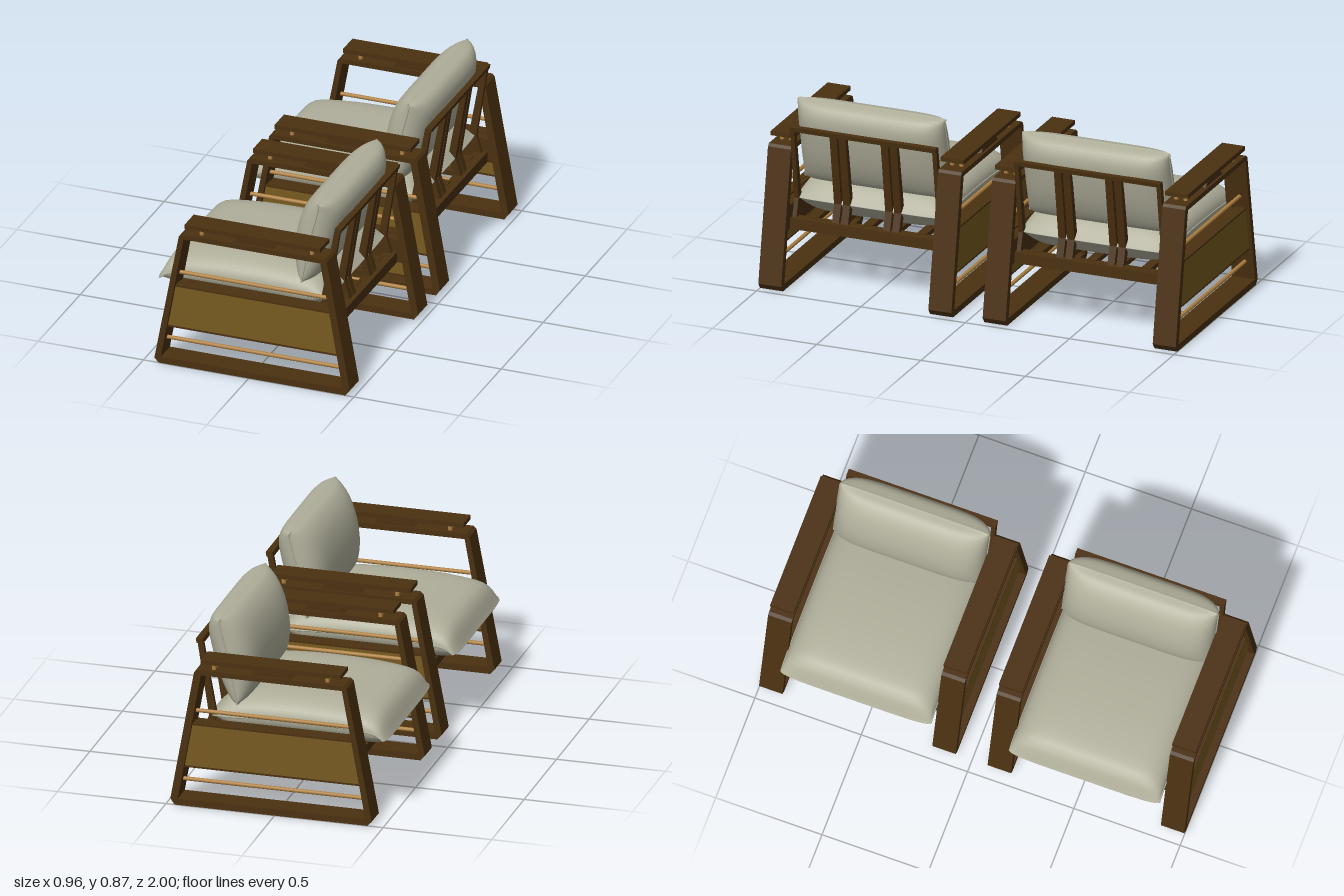
import * as THREE from 'three';

const mat = (name, color, side = THREE.FrontSide) => {
  const m = new THREE.MeshStandardMaterial({ color, side });
  m.name = name;
  return m;
};

export function createModel() {
  const darkWood = mat('dark wood', 0x4a3010);
  const panelWood = mat('panel wood', 0x765a20);
  const lightWood = mat('light wood', 0xae8040);
  const fabric = mat('cushion fabric', 0xb0af9b);

  const add = (parent, name, geo, material, x = 0, y = 0, z = 0) => {
    const mesh = new THREE.Mesh(geo, material);
    mesh.name = name;
    mesh.position.set(x, y, z);
    parent.add(mesh);
    return mesh;
  };
  const box = (parent, name, m, [x0, x1], [y0, y1], [z0, z1]) =>
    add(parent, name, new THREE.BoxGeometry(x1 - x0, y1 - y0, z1 - z0), m, (x0 + x1) / 2, (y0 + y1) / 2, (z0 + z1) / 2);

  // Side outline in x-y, extruded across z
  const slab = (parent, name, m, pts, z0, z1, hole) => {
    const v = (list) => list.map(([x, y]) => new THREE.Vector2(x, y));
    const shape = new THREE.Shape(v(pts));
    if (hole) shape.holes.push(new THREE.Path(v(hole)));
    return add(parent, name, new THREE.ExtrudeGeometry(shape, { depth: z1 - z0, bevelEnabled: false }), m, 0, 0, z0);
  };

  // Round rod along x
  const rod = (parent, name, x0, x1, y, z) => {
    const geo = new THREE.CylinderGeometry(0.009, 0.009, x1 - x0, 16).rotateZ(Math.PI / 2);
    return add(parent, name, geo, lightWood, (x0 + x1) / 2, y, z);
  };

  // Puffy cushion: two side curves meet at both ends, thickness fades to a seam at each side
  const cushion = (parent, name, upper, lower, halfWidth) => {
    const curve = (p) => new THREE.CatmullRomCurve3(p.map(([x, y]) => new THREE.Vector3(x, y, 0)));
    const up = curve(upper), low = curve(lower);
    const N = 28, M = 32, loop = [];
    for (let i = 0; i < 2 * N; i++) {
      const s = (1 - Math.cos((Math.PI * i) / N)) / 2;
      const a = up.getPoint(s), b = low.getPoint(s);
      loop.push({ p: i <= N ? a : b, mid: a.clone().lerp(b, 0.5) });
    }
    const centre = loop[0].mid.clone().lerp(loop[N].mid, 0.5);
    const pos = [], idx = [], L = 2 * N;
    for (let j = 0; j <= M; j++) {
      const t = Math.sin((j / M - 0.5) * Math.PI);
      const k = Math.sqrt(Math.max(0, 1 - Math.pow(Math.abs(t), 6)));
      for (let i = 0; i < L; i++) {
        const q = loop[i].mid.clone().lerp(loop[i].p, k);
        q.sub(centre).multiplyScalar(1 - 0.04 * (1 - k)).add(centre);
        pos.push(q.x, q.y, t * halfWidth);
        if (j < M) {
          const a = j * L + i, b = j * L + ((i + 1) % L);
          idx.push(a, a + L, b, b, a + L, b + L);
        }
      }
    }
    const geo = new THREE.BufferGeometry();
    geo.setAttribute('position', new THREE.Float32BufferAttribute(pos, 3));
    geo.setIndex(idx);
    geo.computeVertexNormals();
    add(parent, name, geo, fabric);

    // Sewn edge along both sides
    const seam = loop.slice(0, N + 1).map(({ mid }) => mid.clone().sub(centre).multiplyScalar(0.96).add(centre));
    for (const s of [-1, 1]) {
      const path = new THREE.CatmullRomCurve3(seam);
      add(parent, name + 'Seam', new THREE.TubeGeometry(path, 40, 0.004, 6), fabric, 0, 0, s * halfWidth);
    }
  };

  // One side: trapezoid frame, panel, rods and raised armrest (built for the +z side)
  const buildSide = (s) => {
    const side = new THREE.Group();
    side.name = s > 0 ? 'leftSide' : 'rightSide';
    const zr = (a, b) => (s > 0 ? [a, b] : [-b, -a]);
    const full = zr(0.3525, 0.4625), mid = s * 0.42;

    slab(side, 'sideFrame', darkWood,
      [[-0.428, 0], [0.46, 0], [0.48, 0.027], [0.371, 0.638], [0.36, 0.65], [-0.318, 0.65], [-0.332, 0.638], [-0.448, 0.022]],
      ...full, [[-0.418, 0.03], [-0.31, 0.627], [0.34, 0.627], [0.446, 0.03]]);
    const left = (y) => -0.424 + (y - 0.03) * 0.181, right = (y) => 0.452 - (y - 0.03) * 0.178;
    const infill = (name, m, y0, y1, z) =>
      slab(side, name, m, [[left(y0), y0], [right(y0), y0], [right(y1), y1], [left(y1), y1]], ...z);
    infill('sidePanel', panelWood, 0.186, 0.38, zr(0.40, 0.445));
    infill('panelTopTrim', darkWood, 0.38, 0.388, zr(0.398, 0.447));
    infill('panelBottomTrim', darkWood, 0.178, 0.186, zr(0.398, 0.447));
    infill('seatSideRail', darkWood, 0.268, 0.38, zr(0.3525, 0.40));
    rod(side, 'upperRod', left(0.443), right(0.443), 0.443, mid);
    rod(side, 'lowerRod', left(0.113), right(0.113), 0.113, mid);

    box(side, 'armrest', darkWood, [-0.305, 0.34], [0.68, 0.7], full);
    slab(side, 'armrestBlock', darkWood, [[-0.076, 0.649], [0.112, 0.649], [0.08, 0.681], [-0.042, 0.681]], ...zr(0.365, 0.45));
    for (const x of [-0.235, 0.288])
      for (const z of [0.385, 0.43])
        add(side, 'armrestPeg', new THREE.CylinderGeometry(0.01, 0.01, 0.034, 16), lightWood, x, 0.665, s * z);
    return side;
  };

  const buildChair = () => {
    const chair = new THREE.Group();
    chair.add(buildSide(1), buildSide(-1));

    // Seat base
    const span = [-0.355, 0.355];
    box(chair, 'rearRail', darkWood, [0.325, 0.38], [0.268, 0.318], span);
    box(chair, 'frontRail', darkWood, [-0.37, -0.33], [0.268, 0.31], span);
    for (let i = -2; i <= 2; i++)
      box(chair, 'seatSlat', darkWood, [-0.36, 0.34], [0.3, 0.322], [i * 0.13 - 0.022, i * 0.13 + 0.022]);

    // Leaning backrest: slats and posts bend back to the rear rail
    const bent = [[0.365, 0.752], [0.3, 0.4], [0.335, 0.3], [0.365, 0.3], [0.335, 0.4], [0.39, 0.752]];
    for (const s of [-1, 1]) {
      for (const z of [0.101, 0.144])
        slab(chair, 'backSlat', darkWood, bent, s * z - 0.017, s * z + 0.017);
      slab(chair, 'backPost', darkWood, bent, s * 0.341 - 0.01, s * 0.341 + 0.01);
    }
    slab(chair, 'backTopRail', darkWood, [[0.362, 0.733], [0.392, 0.733], [0.396, 0.754], [0.366, 0.754]], -0.351, 0.351);

    cushion(chair, 'seatCushion',
      [[-0.484, 0.362], [-0.425, 0.462], [-0.3, 0.492], [-0.1, 0.504], [0.1, 0.5], [0.25, 0.478], [0.335, 0.4]],
      [[-0.484, 0.362], [-0.44, 0.322], [-0.3, 0.318], [-0.1, 0.318], [0.1, 0.318], [0.25, 0.322], [0.335, 0.4]], 0.352);
    cushion(chair, 'backCushion',
      [[0.205, 0.452], [0.16, 0.49], [0.138, 0.58], [0.148, 0.7], [0.185, 0.8], [0.235, 0.852], [0.285, 0.865]],
      [[0.205, 0.452], [0.258, 0.468], [0.315, 0.56], [0.355, 0.69], [0.37, 0.79], [0.345, 0.845], [0.285, 0.865]], 0.352);
    return chair;
  };

  // Pair of armchairs next to each other, both facing -x
  const model = new THREE.Group();
  model.name = 'armchairPair';
  for (const s of [-1, 1]) {
    const chair = buildChair();
    chair.name = s > 0 ? 'leftArmchair' : 'rightArmchair';
    chair.position.z = s * 0.5375;
    model.add(chair);
  }
  return model;
}
